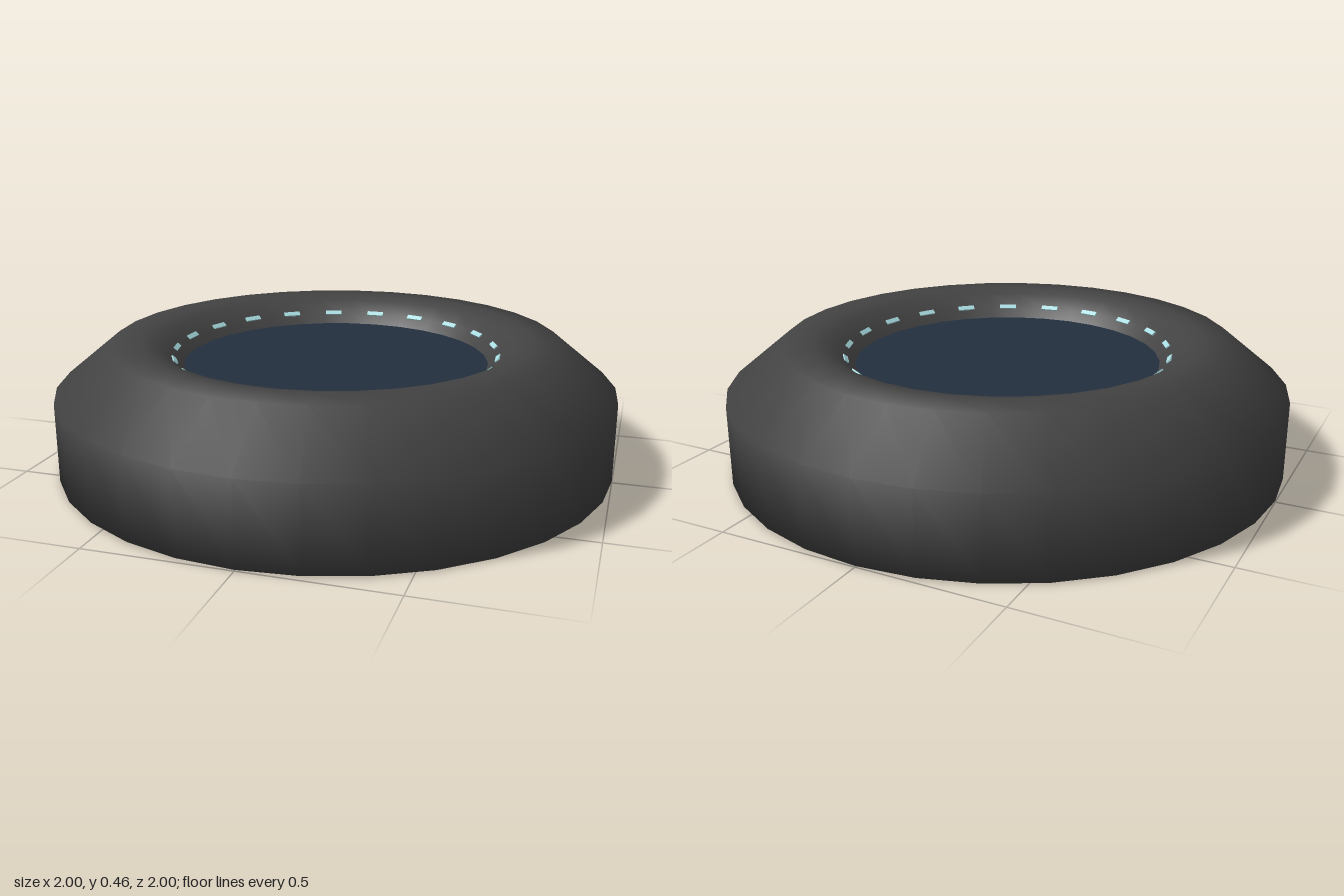
import * as THREE from 'three';
import { mergeVertices } from 'three/addons/utils/BufferGeometryUtils.js';

const material = (name, color) => {
  const m = new THREE.MeshStandardMaterial({ color });
  m.name = name;
  return m;
};

export function createModel() {
  const charcoal = material('charcoal', 0x424242);
  const navy = material('navy', 0x232f3f);
  const paleCyan = material('pale cyan', 0xa8dce0);
  const stone = material('stone grey', 0xa5a294);

  const model = new THREE.Group();
  model.name = 'roundPuck';
  const add = (name, geometry, mat, parent = model) => {
    const mesh = new THREE.Mesh(geometry, mat);
    mesh.name = name;
    parent.add(mesh);
    return mesh;
  };

  // Housing: straight wall, bevelled shoulder, flat rim and a dish, smooth all over
  const profile = [
    [0, 0.004], [1, 0.004], [1, 0.285], [0.8, 0.448], [0.7, 0.457],
    [0.64, 0.442], [0.585, 0.4], [0.545, 0.362], [0.53, 0.345],
  ].map(([r, y]) => new THREE.Vector2(r, y));
  let shell = new THREE.LatheGeometry(profile, 32);
  shell.deleteAttribute('normal');
  shell.deleteAttribute('uv');
  shell = mergeVertices(shell, 1e-4);
  shell.computeVertexNormals();
  add('housing', shell, charcoal);

  // Sunken round screen
  const screen = add('screen', new THREE.CircleGeometry(0.548, 64), navy);
  screen.rotation.x = -Math.PI / 2;
  screen.position.y = 0.364;

  // Ring of small lights on the slope of the dish
  const lights = new THREE.Group();
  lights.name = 'lightRing';
  model.add(lights);
  const dash = new THREE.BoxGeometry(0.018, 0.008, 0.065);
  const count = 21;
  for (let i = 0; i < count; i++) {
    const pivot = new THREE.Group();
    pivot.name = 'lightPivot';
    pivot.rotation.y = -(THREE.MathUtils.degToRad(12) + (i / count) * Math.PI * 2);
    lights.add(pivot);
    const light = add('light', dash, paleCyan, pivot);
    light.position.set(0.581, 0.4, 0);
    light.rotation.z = 0.7;
  }

  // Underside plate
  const base = add('basePlate', new THREE.CircleGeometry(1, 32), stone);
  base.rotation.x = Math.PI / 2;

  return model;
}
